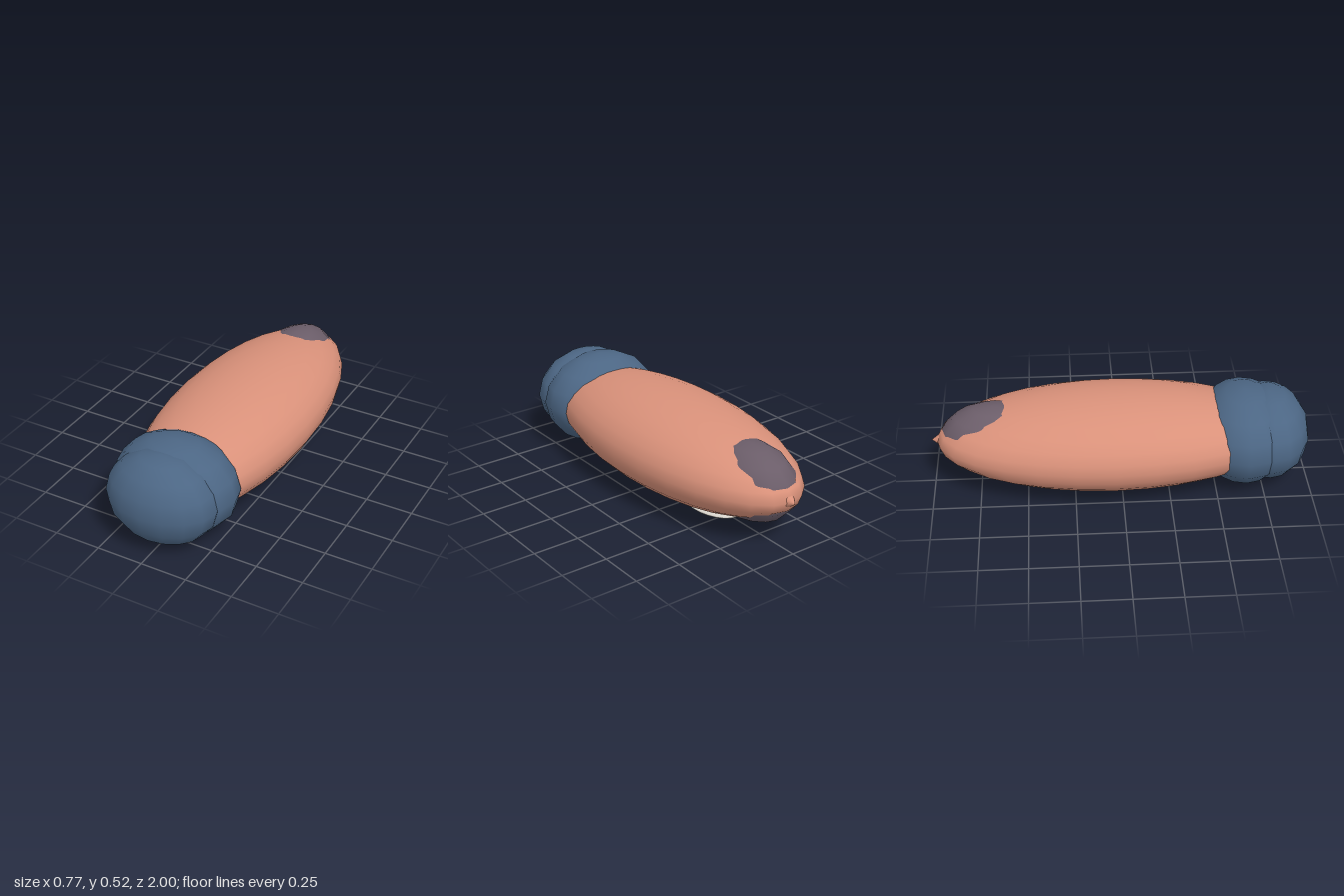
import * as THREE from 'three';

const material = (name, color) => {
  const m = new THREE.MeshStandardMaterial({ color });
  m.name = name;
  return m;
};

export function createModel() {
  const group = new THREE.Group();
  const salmon = material('salmon', 0xd9917a);
  const blue = material('slateBlue', 0x4c6684);
  const plum = material('duskyPlum', 0x6b5d69);
  const ivory = material('ivory', 0xd8d4cc);

  // Smooth ellipsoid with half sizes and centre on the model's midline
  const ellipsoid = (name, mat, [rx, ry, rz], [y, z], segments) => {
    const geometry = new THREE.SphereGeometry(1, segments, segments / 2).scale(rx, ry, rz);
    const mesh = new THREE.Mesh(geometry, mat);
    mesh.name = name;
    mesh.position.set(0, y, z);
    group.add(mesh);
  };

  // Long flattened body
  ellipsoid('body', salmon, [0.385, 0.245, 0.935], [0.27, -0.04], 28);

  // Two overlapping blue bulbs at the front
  ellipsoid('collar', blue, [0.333, 0.257, 0.26], [0.268, 0.65], 16);
  ellipsoid('frontCap', blue, [0.3, 0.24, 0.22], [0.268, 0.78], 16);

  // Dark core that breaks through the body above and below near the tail
  ellipsoid('tailPatches', plum, [0.2, 0.2, 0.3], [0.27, -0.66], 16);

  // Pale pad under the belly
  ellipsoid('bellyPad', ivory, [0.127, 0.02, 0.2], [0.02, -0.38], 24);

  // Small pointed tail tip
  const tip = new THREE.Mesh(new THREE.ConeGeometry(0.045, 0.06, 16).rotateX(-Math.PI / 2), salmon);
  tip.name = 'tailTip';
  tip.position.set(0, 0.27, -0.97);
  group.add(tip);

  return group;
}
